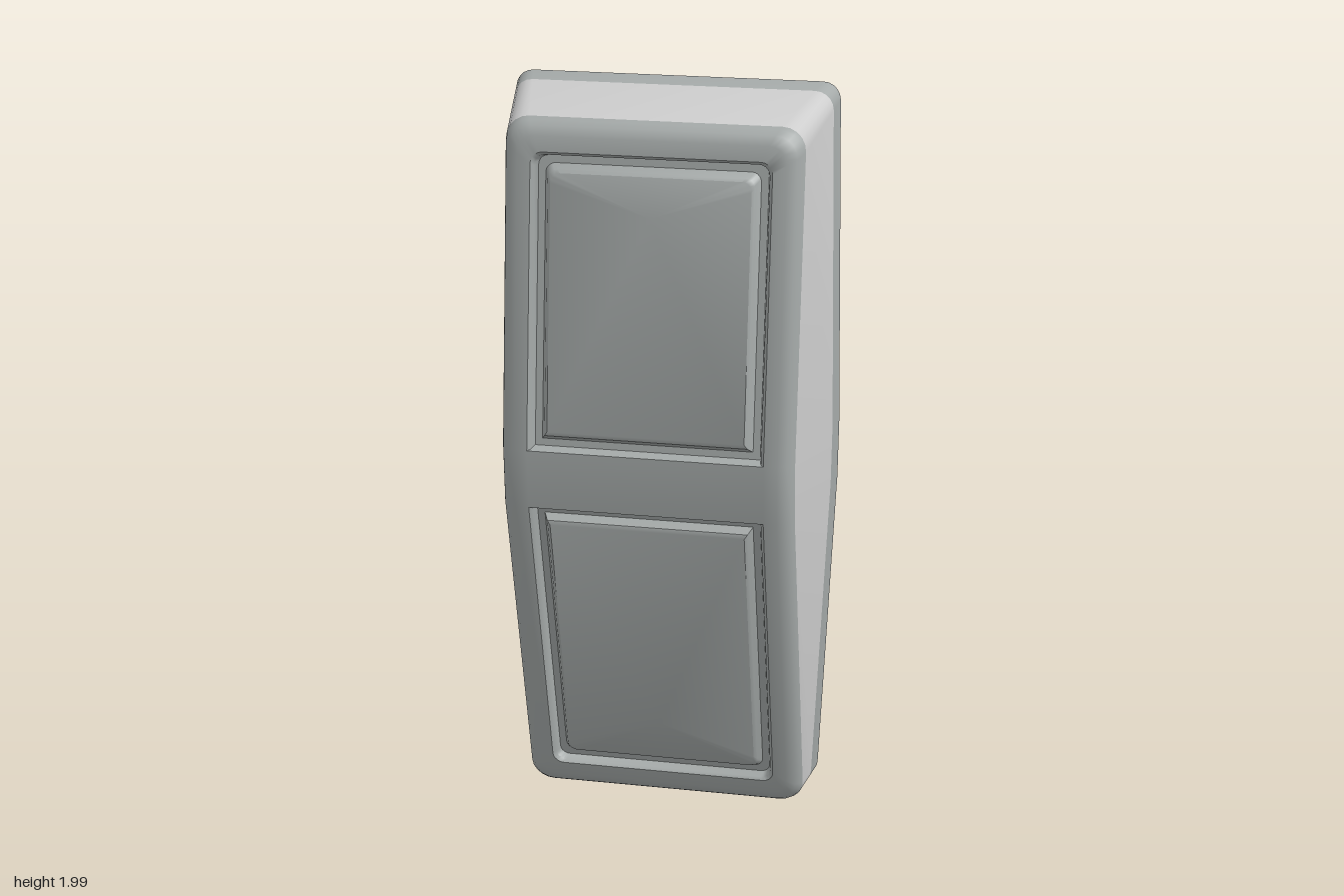
import * as THREE from 'three';
import { toCreasedNormals } from 'three/addons/utils/BufferGeometryUtils.js';

const BACK_Z = -0.21;
const BASE_Z = -0.15;
const BAR_TOP = 1.09;
const BAR_BOTTOM = 0.93;

// depth of the bent front face at a given height
function frontZ(y) {
  if (y >= BAR_TOP) return 0.21 - (y - BAR_TOP) * 0.111;
  if (y >= BAR_BOTTOM) return 0.2 + (y - BAR_BOTTOM) * 0.0625;
  return 0.2 - (BAR_BOTTOM - y) * 0.27;
}

// U-shaped run of points from the middle bar round one end (s = 1 top, s = -1 bottom)
function endRun(s, hw, yBar, yEnd, r, d, n = 5) {
  const pts = [[s * hw, yBar]];
  for (const side of [1, -1]) {
    for (let i = 0; i <= n; i++) {
      const a = (i / n + (side > 0 ? 0 : 1)) * Math.PI / 2;
      pts.push([
        s * (side * (hw - r) + r * Math.cos(a)),
        yEnd - s * r + s * r * Math.sin(a),
      ]);
    }
  }
  pts.push([-s * hw, yBar]);
  return pts.map(([x, y]) => new THREE.Vector3(x, y, frontZ(y) - d));
}

// whole outline of the body
const outline = (hw, y0, y1, r, d) => [
  ...endRun(1, hw, BAR_TOP, y1, r, d),
  ...endRun(-1, hw, BAR_BOTTOM, y0, r, d),
];

function strip(tris, outer, inner, closed = true) {
  const n = outer.length;
  for (let i = 0; i < (closed ? n : n - 1); i++) {
    const j = (i + 1) % n;
    tris.push(outer[i], outer[j], inner[j], outer[i], inner[j], inner[i]);
  }
}

function cap(tris, loop, reverse = false) {
  const centre = new THREE.Vector3();
  loop.forEach((p) => centre.addScaledVector(p, 1 / loop.length));
  loop.forEach((p, i) => {
    const q = loop[(i + 1) % loop.length];
    if (reverse) tris.push(centre, q, p);
    else tris.push(centre, p, q);
  });
}

function makeMesh(name, tris, material, crease = 0.75) {
  const geo = new THREE.BufferGeometry().setFromPoints(tris);
  const mesh = new THREE.Mesh(toCreasedNormals(geo, crease), material);
  mesh.name = name;
  return mesh;
}

export function createModel() {
  const group = new THREE.Group();
  group.name = 'twoPanelHousing';
  const grey = new THREE.MeshStandardMaterial({ color: 0xa4a9a8 });
  grey.name = 'cool grey';
  const light = new THREE.MeshStandardMaterial({ color: 0xcccccc });
  light.name = 'light grey';

  // outer rim, rolled over onto the front
  const rim = [
    outline(0.385, 0.01, 1.94, 0.06, 0.045),
    outline(0.38, 0.015, 1.935, 0.06, 0.028),
    outline(0.369, 0.026, 1.924, 0.055, 0.011),
    outline(0.345, 0.05, 1.9, 0.045, 0),
  ];

  // back outline flares with the depth of the side
  const back = outline(0.385, 0.03, 2, 0.045, 0.045).map((p) => new THREE.Vector3(
    p.x + Math.sign(p.x) * 0.16 * (p.z - BACK_Z), p.y, BACK_Z));
  const seam = back.map((p, i) => p.clone().lerp(
    rim[0][i], (BASE_Z - BACK_Z) / (rim[0][i].z - BACK_Z)));

  const sides = [];
  strip(sides, seam, rim[0]);
  group.add(makeMesh('sideWalls', sides, light, 0.6));

  const base = [];
  strip(base, back, seam);
  cap(base, back, true);
  group.add(makeMesh('backPlate', base, grey, 0.6));

  // front frame with its middle bar
  const frame = [];
  for (let i = 0; i < rim.length - 1; i++) strip(frame, rim[i], rim[i + 1]);
  const bar = [-0.345, -0.31, 0.31, 0.345];
  const at = (x, y) => new THREE.Vector3(x, y, frontZ(y));
  for (let i = 0; i < 3; i++) {
    const [a, b] = [bar[i], bar[i + 1]];
    strip(frame, [at(a, BAR_BOTTOM), at(b, BAR_BOTTOM)], [at(a, BAR_TOP), at(b, BAR_TOP)], false);
  }

  // each window: lip, groove and raised panel
  for (const s of [1, -1]) {
    const yBar = s > 0 ? BAR_TOP : BAR_BOTTOM;
    const yRim = s > 0 ? 1.9 : 0.05;
    // half width, inset from bar, inset from rim end, corner radius, depth
    const ring = (hw, fromBar, fromRim, r, d) =>
      endRun(s, hw, yBar + s * fromBar, yRim - s * fromRim, r, d);
    const lip = ring(0.31, 0, 0.04, 0.03, 0);
    strip(frame, ring(0.345, 0, 0, 0.045, 0), lip, false);
    const groove = [
      lip,
      ring(0.302, 0.002, 0.048, 0.028, 0.009),
      ring(0.296, 0.006, 0.054, 0.025, 0.035),
      ring(0.277, 0.025, 0.073, 0.025, 0.035),
    ];
    for (let i = 0; i < groove.length - 1; i++) strip(frame, groove[i], groove[i + 1]);

    const panel = [];
    const shoulder = ring(0.266, 0.04, 0.084, 0.025, 0.01);
    const face = ring(0.258, 0.052, 0.092, 0.025, 0.004);
    strip(panel, groove[3], shoulder);
    strip(panel, shoulder, face);
    cap(panel, face);
    group.add(makeMesh(s > 0 ? 'upperPanel' : 'lowerPanel', panel, grey, 0.6));
  }
  group.add(makeMesh('frontFrame', frame, grey));
  return group;
}
